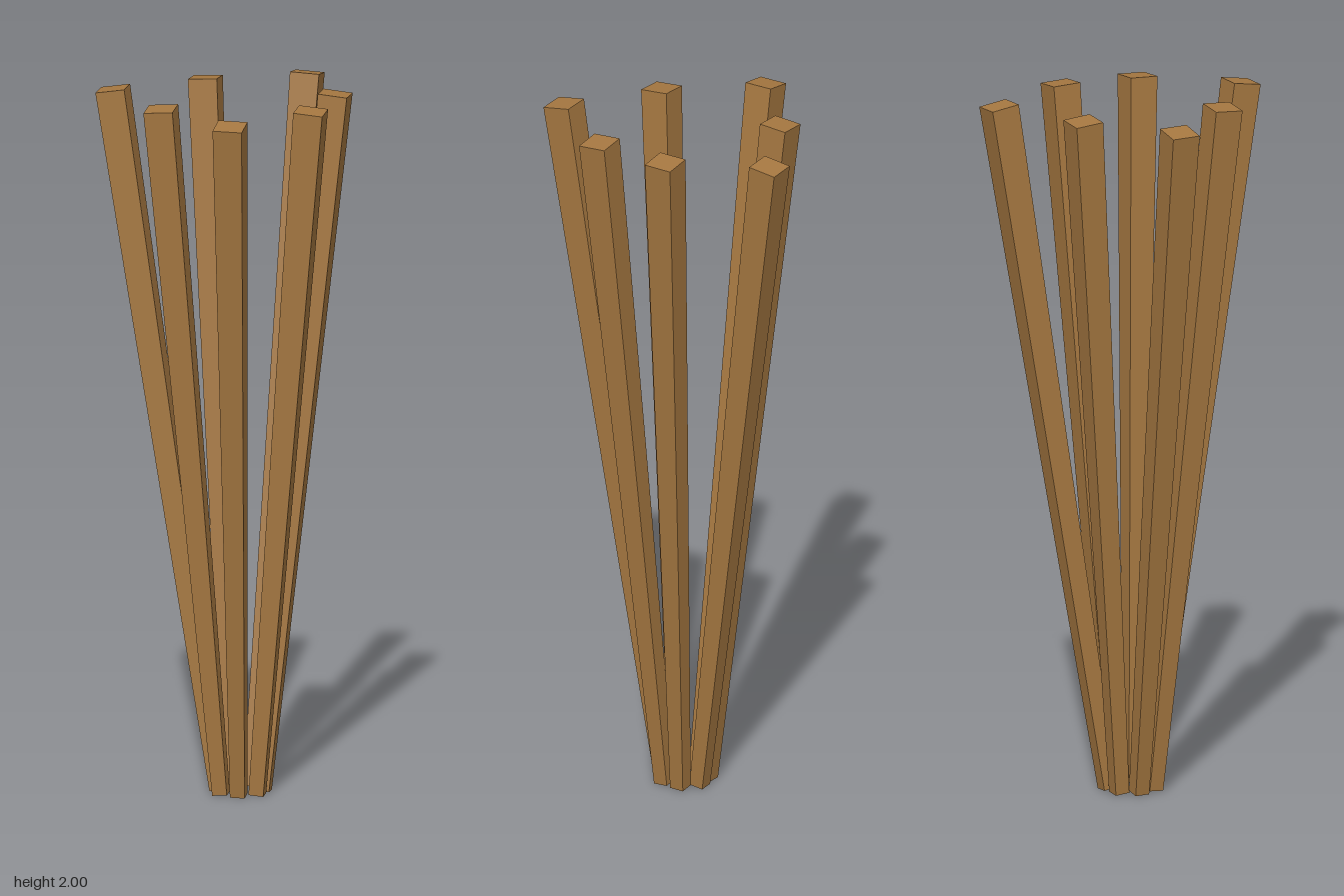
import * as THREE from 'three';

const TOP_SIDE = 0.083;
const BOTTOM_SIDE = 0.042;

// Each pole: [bottom x, bottom z, top x, top z] of its axis
const POLES = [
  [0.079, -0.072, 0.178, -0.363],
  [0.024, -0.064, -0.087, -0.234],
  [-0.006, -0.017, -0.313, -0.046],
  [0.013, 0.037, -0.129, 0.183],
  [0.067, 0.053, 0.105, 0.36],
  [0.114, 0.023, 0.288, 0.129],
  [0.119, -0.033, 0.311, -0.102],
];

// Square pole, thicker at the top, running between two points
function makePole(bottom, top, material) {
  const axis = top.clone().sub(bottom);
  const geometry = new THREE.CylinderGeometry(
    TOP_SIDE * Math.SQRT1_2, BOTTOM_SIDE * Math.SQRT1_2, axis.length(), 4);
  geometry.rotateY(Math.PI / 4);
  const pole = new THREE.Mesh(geometry, material);
  pole.position.copy(bottom).add(top).multiplyScalar(0.5);
  pole.quaternion.setFromUnitVectors(new THREE.Vector3(0, 1, 0), axis.normalize());
  return pole;
}

export function createModel() {
  const group = new THREE.Group();
  group.name = 'poleBundle';
  const wood = new THREE.MeshStandardMaterial({ color: 0xa67841, flatShading: true });
  wood.name = 'wood';

  // Ring of poles fanning outward from a narrow base
  POLES.forEach(([bx, bz, tx, tz], i) => {
    // Lift the ends so the tilted caps just touch y = 0 and y = 2
    const tilt = (Math.abs(tx - bx) + Math.abs(tz - bz)) / 2;
    const bottom = new THREE.Vector3(bx, (BOTTOM_SIDE / 2) * tilt, bz);
    const top = new THREE.Vector3(tx, 2 - (TOP_SIDE / 2) * tilt, tz);
    const pole = makePole(bottom, top, wood);
    pole.name = `pole${i + 1}`;
    group.add(pole);
  });
  return group;
}
